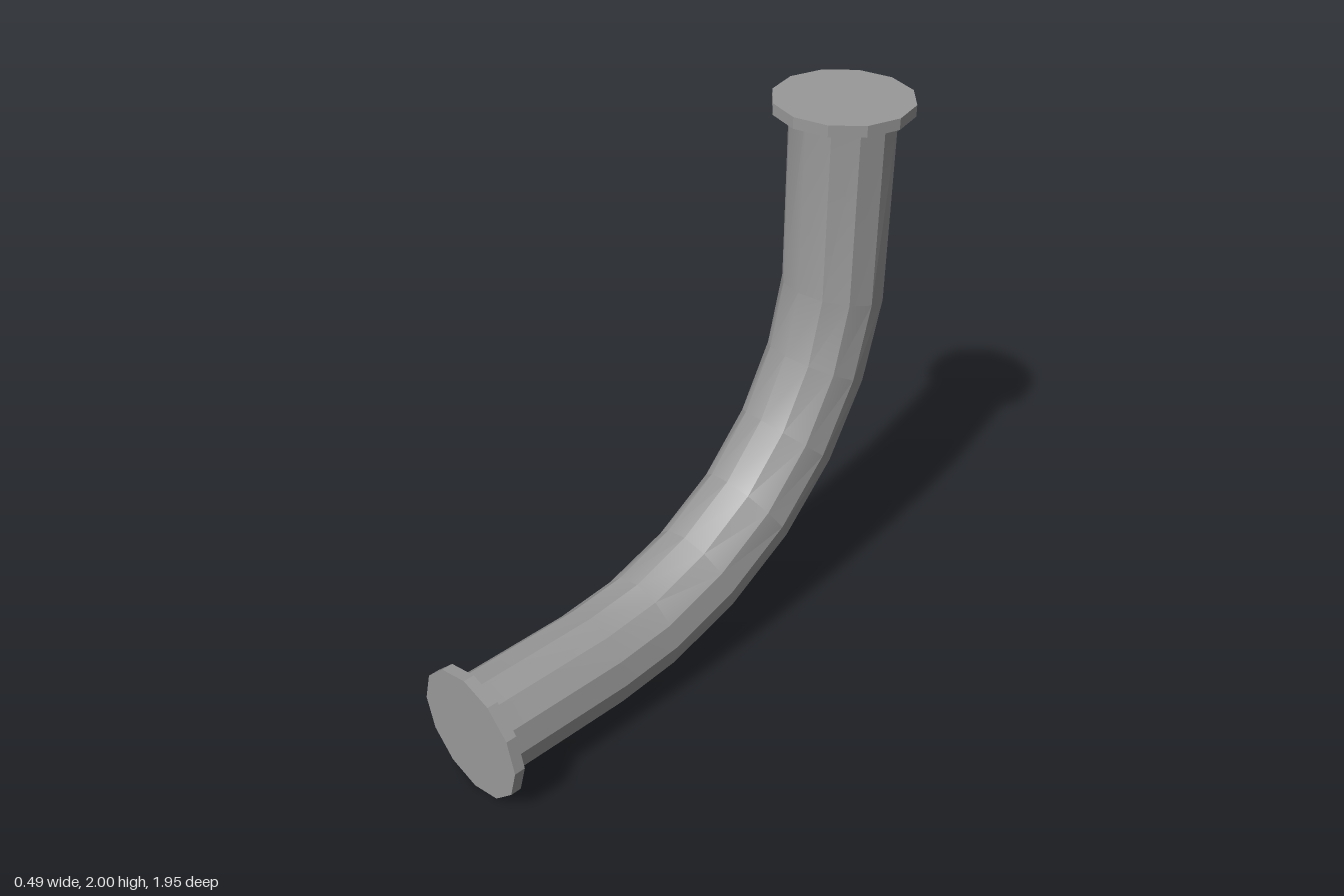
import * as THREE from 'three';
import { toCreasedNormals } from 'three/addons/utils/BufferGeometryUtils.js';

const SIDES = 12;
const PIPE_R = 0.185;
const FLANGE_R = 0.243;
const AXIS_Y = 0.243; // height of the horizontal end
const AXIS_Z = -0.73; // depth of the vertical end

// Cross-sections along the pipe: centre z, centre y, tilt in degrees
const RINGS = [
  [0.94, AXIS_Y, 0],
  [0.44, AXIS_Y, 0],
  [0.2, 0.27, 6.5],
  [-0.07, 0.365, 19.5],
  [-0.32, 0.525, 33],
  [-0.52, 0.745, 47],
  [-0.66, 1.005, 61.5],
  [-0.73, 1.285, 76],
  [AXIS_Z, 1.97, 90],
];

// Loft a tube through the tilted rings
function pipeGeometry() {
  const positions = [];
  const index = [];
  RINGS.forEach(([z, y, tilt], i) => {
    const t = THREE.MathUtils.degToRad(tilt);
    for (let j = 0; j < SIDES; j++) {
      const a = (j / SIDES) * Math.PI * 2;
      const inward = Math.cos(a) * PIPE_R;
      positions.push(Math.sin(a) * PIPE_R, y + inward * Math.cos(t), z + inward * Math.sin(t));
      if (i < RINGS.length - 1) {
        const k = (j + 1) % SIDES;
        const p = i * SIDES + j, q = i * SIDES + k;
        index.push(p, q, q + SIDES, p, q + SIDES, p + SIDES);
      }
    }
  });
  const geometry = new THREE.BufferGeometry();
  geometry.setAttribute('position', new THREE.Float32BufferAttribute(positions, 3));
  geometry.setIndex(index);
  // Facets stay sharp on the straight runs and blend along the bend
  return toCreasedNormals(geometry, THREE.MathUtils.degToRad(29.8));
}

export function createModel() {
  const model = new THREE.Group();
  model.name = 'pipeElbow';

  const metal = new THREE.MeshStandardMaterial({ color: 0x999999 });
  metal.name = 'grey metal';

  const pipe = new THREE.Mesh(pipeGeometry(), metal);
  pipe.name = 'bentPipe';
  model.add(pipe);

  // Closed flange discs at both ends
  const disc = toCreasedNormals(
    new THREE.CylinderGeometry(FLANGE_R, FLANGE_R, 0.04, SIDES), THREE.MathUtils.degToRad(25));

  const topFlange = new THREE.Mesh(disc, metal);
  topFlange.name = 'topFlange';
  topFlange.position.set(0, 1.98, AXIS_Z);

  const frontFlange = new THREE.Mesh(disc, metal);
  frontFlange.name = 'frontFlange';
  frontFlange.rotation.x = Math.PI / 2;
  frontFlange.position.set(0, AXIS_Y, 0.953);

  model.add(topFlange, frontFlange);
  return model;
}
